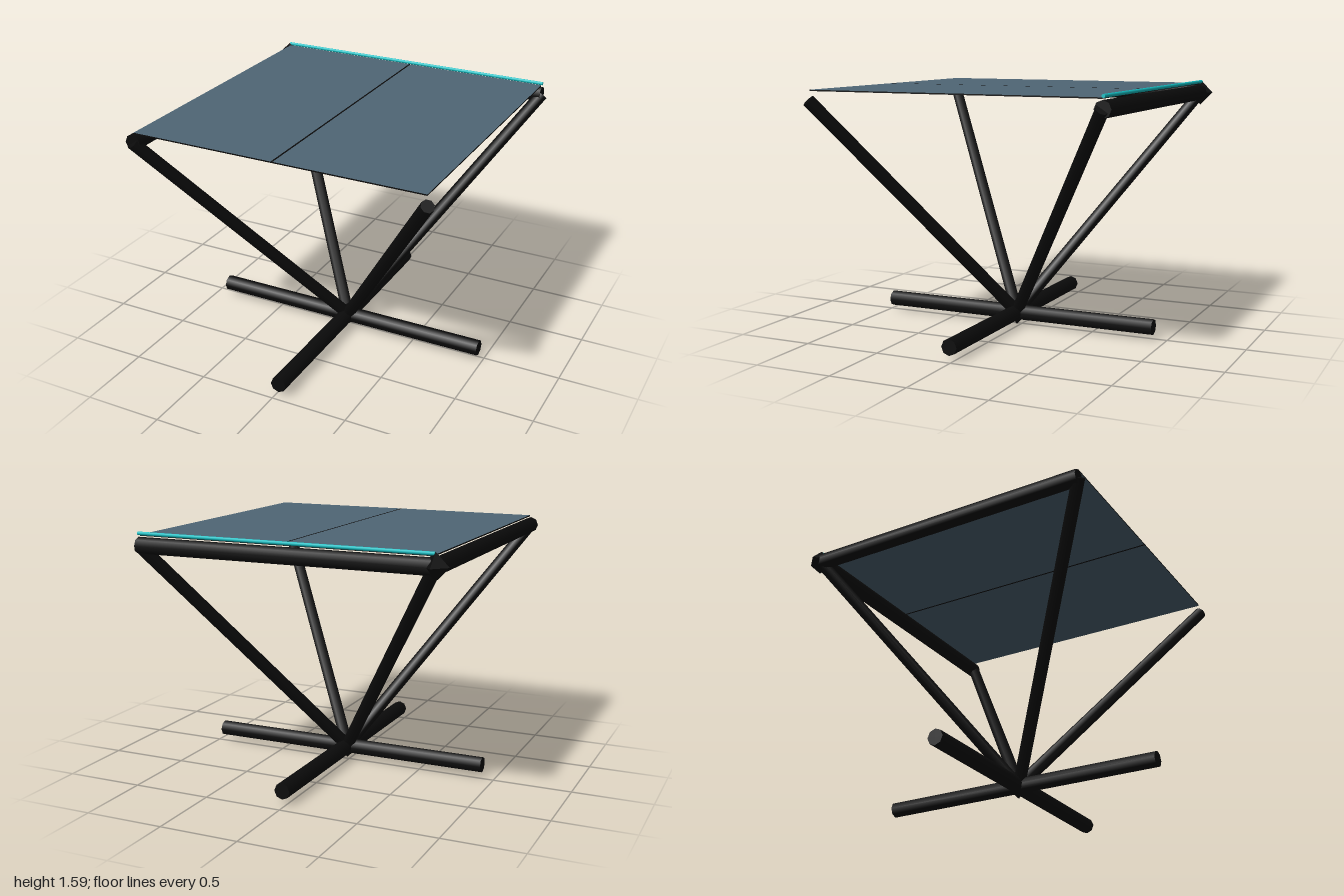
import * as THREE from 'three';

const C = 0.025;          // hub offset in x and z
const HALF = 0.9425;      // half the frame side
const LO = C - HALF, HI = C + HALF;
const BASE_Y = 0.083, TOP_Y = 1.502;

function material(name, color) {
  const m = new THREE.MeshStandardMaterial({ color });
  m.name = name;
  return m;
}

export function createModel() {
  const model = new THREE.Group();
  const black = material('black', 0x0b0b0b);
  const slate = material('slate blue', 0x4f6675);
  const teal = material('teal', 0x14c0c4);

  const add = (name, geometry, mat, x = 0, y = 0, z = 0) => {
    const mesh = new THREE.Mesh(geometry, mat);
    mesh.name = name;
    mesh.position.set(x, y, z);
    model.add(mesh);
    return mesh;
  };

  // Straight tube between two points
  const bar = (name, a, b, radius, mat = black, sides = 8) => {
    const from = new THREE.Vector3(...a), to = new THREE.Vector3(...b);
    const dir = to.clone().sub(from);
    const mesh = add(name, new THREE.CylinderGeometry(radius, radius, dir.length(), sides), mat);
    mesh.position.copy(from).add(to).multiplyScalar(0.5);
    mesh.quaternion.setFromUnitVectors(new THREE.Vector3(0, 1, 0), dir.normalize());
  };

  // Crossed floor bars
  bar('baseBarAcross', [LO, BASE_Y, C], [HI, BASE_Y, C], 0.051);
  bar('baseBarDeep', [C, BASE_Y, LO], [C, BASE_Y, HI], 0.051);

  // Struts from the hub to the four top corners
  for (const x of [LO, HI])
    for (const z of [LO, HI]) bar('strut', [C, BASE_Y, C], [x, TOP_Y, z], 0.04);

  // Top rails along the back and the right side
  bar('backRail', [LO, TOP_Y, LO], [HI, TOP_Y, LO], 0.051);
  bar('sideRail', [LO, TOP_Y, LO], [LO, TOP_Y, HI], 0.051);

  // Pointed joints
  add('hubJoint', new THREE.OctahedronGeometry(0.083), black, C, BASE_Y, C);
  add('cornerJoint', new THREE.OctahedronGeometry(0.083), black, LO, TOP_Y, LO);

  // Two thin top panels with dark edges and a seam between them
  const faces = [black, black, slate, slate, black, black];
  const seam = 0.012, depth = 1.872, width = (depth - seam) / 2;
  for (const s of [-1, 1])
    add('topPanel', new THREE.BoxGeometry(width, 0.008, depth), faces, C + s * (width + seam) / 2, 1.562, C);
  add('panelSeam', new THREE.BoxGeometry(seam, 0.008, depth), black, C, 1.562, C);

  // Bright strip along the back edge
  bar('edgeStrip', [LO, 1.574, LO - 0.004], [HI, 1.574, LO - 0.004], 0.011, teal);

  return model;
}
